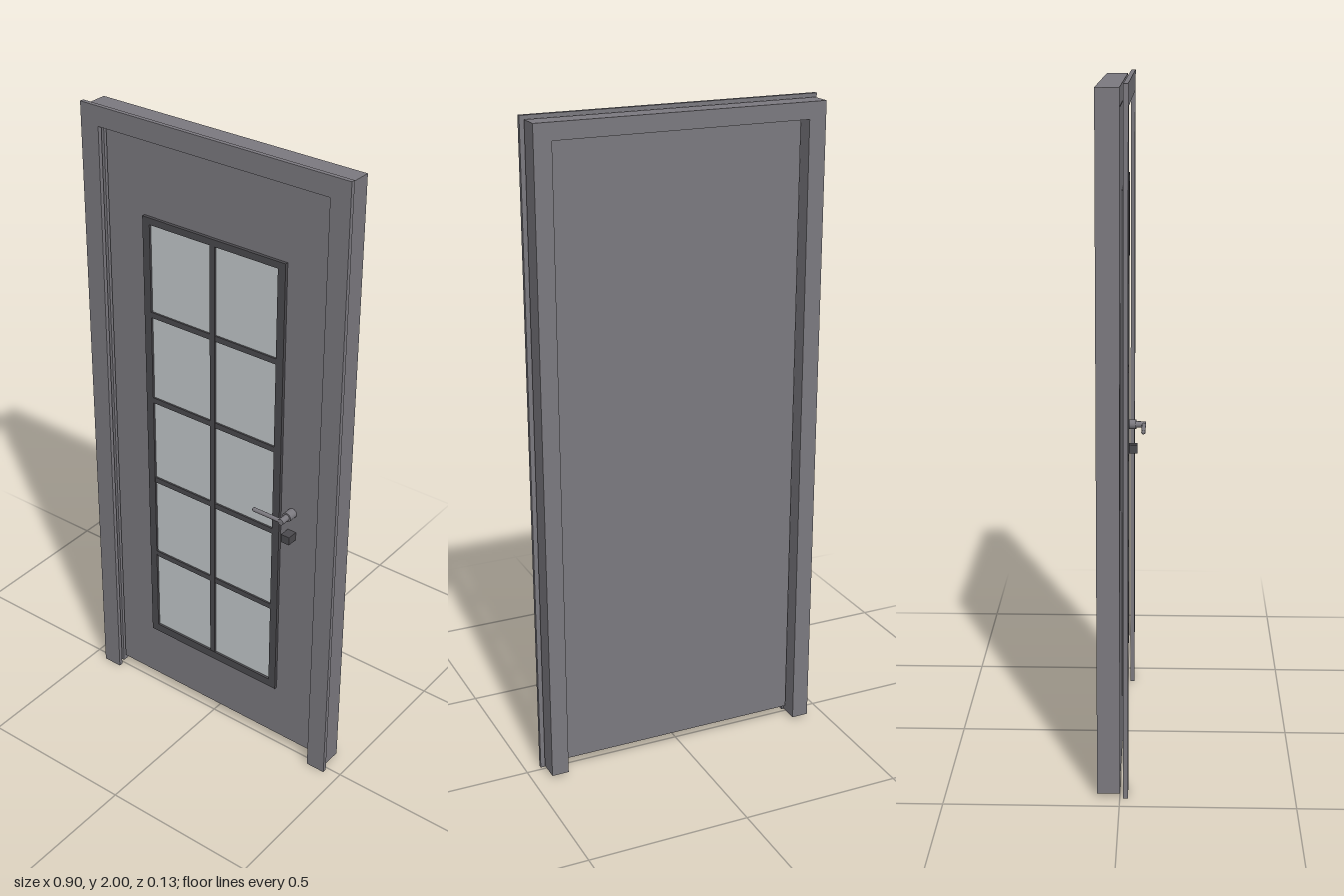
import * as THREE from 'three';

const mat = (name, color) => {
  const m = new THREE.MeshStandardMaterial({ color });
  m.name = name;
  return m;
};

export function createModel() {
  const model = new THREE.Group();
  model.name = 'door';
  const grey = mat('painted grey', 0x7b797f);
  const dark = mat('dark grey', 0x4b4a4e);
  const glass = mat('pale glass', 0xc3c9cb);

  const add = (parent, name, geometry, material) => {
    const mesh = new THREE.Mesh(geometry, material);
    mesh.name = name;
    parent.add(mesh);
    return mesh;
  };
  // Box given by its lower and upper corners
  const box = (parent, name, material, x0, x1, y0, y1, z0, z1) =>
    add(parent, name, new THREE.BoxGeometry(x1 - x0, y1 - y0, z1 - z0), material)
      .position.set((x0 + x1) / 2, (y0 + y1) / 2, (z0 + z1) / 2);

  // Doorway surround: two legs joined by a head, open at the floor
  const surround = (name, half, y0, y1, inner, head, z0, z1) => {
    const s = new THREE.Shape([
      [-half, y0], [-inner, y0], [-inner, head], [inner, head],
      [inner, y0], [half, y0], [half, y1], [-half, y1],
    ].map(([x, y]) => new THREE.Vector2(x, y)));
    const g = new THREE.ExtrudeGeometry(s, { depth: z1 - z0, bevelEnabled: false });
    g.translate(0, 0, z0);
    add(model, name, g, grey);
  };
  surround('jamb', 0.442, 0.01, 1.99, 0.389, 1.94, -0.065, 0);
  surround('frontTrim', 0.452, 0, 2, 0.389, 1.94, 0.01, 0.023);

  // Door leaf
  box(model, 'leaf', grey, -0.38, 0.38, 0.037, 1.937, -0.03, 0);

  // Glazed panel: border with a hole, glass and bars
  const panel = new THREE.Group();
  panel.name = 'glazedPanel';
  model.add(panel);
  const rect = (T, x, y0, y1) => new T([[-x, y0], [x, y0], [x, y1], [-x, y1]]
    .map(([a, b]) => new THREE.Vector2(a, b)));
  const border = rect(THREE.Shape, 0.248, 0.226, 1.706);
  border.holes.push(rect(THREE.Path, 0.223, 0.254, 1.685));
  add(panel, 'glazingBorder',
    new THREE.ExtrudeGeometry(border, { depth: 0.01, bevelEnabled: false }), dark);
  box(panel, 'glass', glass, -0.223, 0.223, 0.254, 1.685, 0, 0.003);
  box(panel, 'uprightBar', dark, -0.009, 0.009, 0.254, 1.685, 0.003, 0.009);
  for (const y of [0.541, 0.823, 1.109, 1.398]) {
    box(panel, 'crossBar', dark, -0.223, 0.223, y - 0.009, y + 0.009, 0.003, 0.0085);
  }

  // Lever handle: rosette, shank and grip
  const handle = new THREE.Group();
  handle.name = 'handle';
  handle.position.set(0.288, 0.912, 0);
  model.add(handle);
  const rod = (name, r, length, x, z, along) => {
    const m = add(handle, name, new THREE.CylinderGeometry(r, r, length, 16), grey);
    if (along === 'z') m.rotation.x = Math.PI / 2;
    else m.rotation.z = Math.PI / 2;
    m.position.set(x, 0, z);
  };
  rod('rosette', 0.015, 0.03, 0, 0.015, 'z');
  rod('shank', 0.01, 0.03, 0, 0.045, 'z');
  rod('grip', 0.0065, 0.1, -0.05, 0.054, 'x');
  add(handle, 'gripEnd', new THREE.SphereGeometry(0.0065, 12, 8), grey)
    .position.set(-0.098, 0, 0.054);

  // Square lock plate below the handle
  box(model, 'lock', dark, 0.273, 0.302, 0.821, 0.848, 0, 0.034);

  return model;
}
